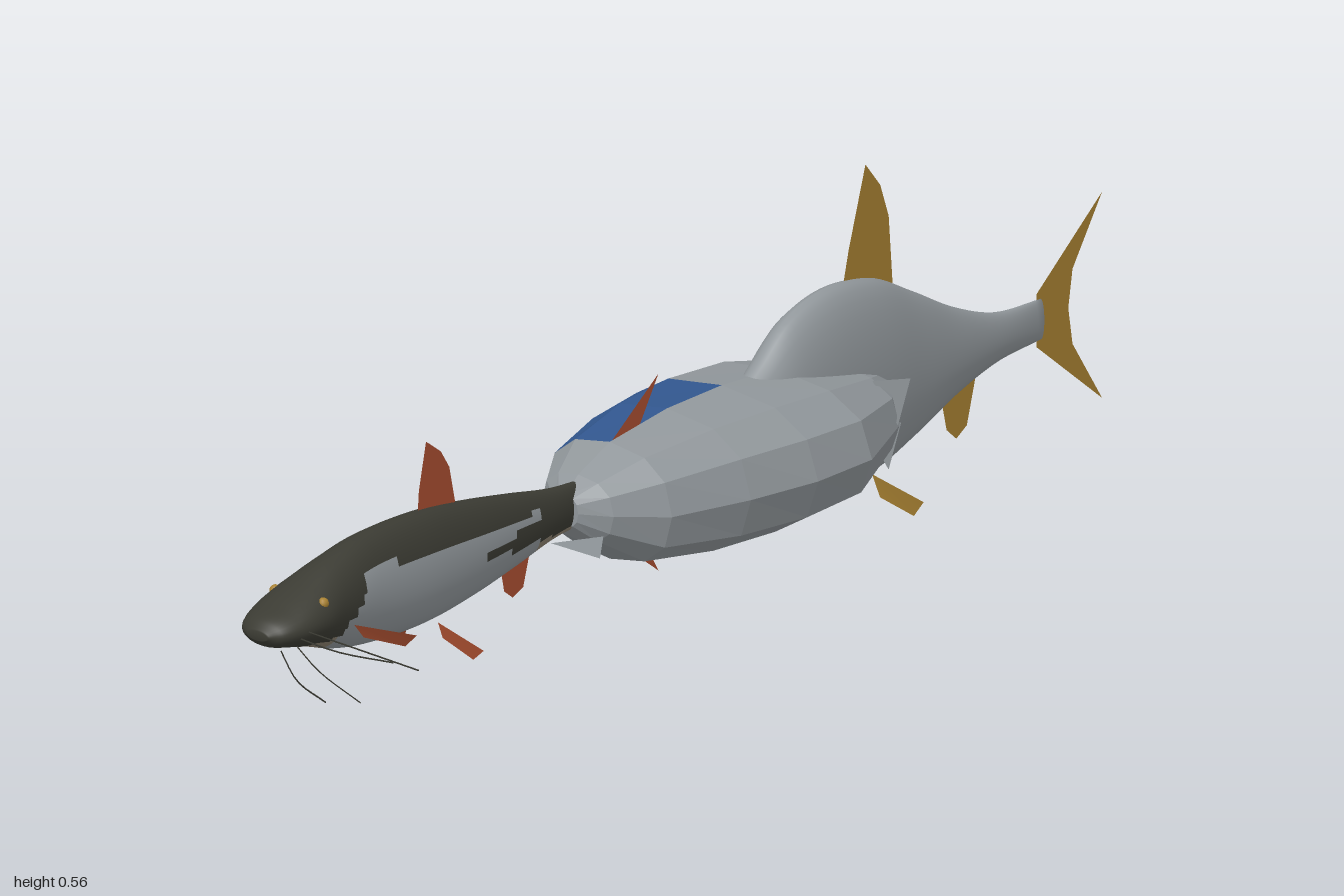
import * as THREE from 'three';

const material = (name, color, side = THREE.FrontSide) => {
  const m = new THREE.MeshStandardMaterial({ color, side });
  m.name = name;
  return m;
};

export function createModel() {
  const root = new THREE.Group();
  root.name = 'fishChain';
  const dark = material('dark olive', 0x3b3b33);
  const gray = material('silver gray', 0x91979b);
  const beige = material('pale beige', 0x8d8270);
  const blue = material('blue', 0x32578f);
  const red = material('fin red', 0xa84e30, THREE.DoubleSide);
  const gold = material('fin gold', 0xa88132, THREE.DoubleSide);
  const plate = material('plate gray', 0x8c9296, THREE.DoubleSide);

  const add = (name, geo, mat, parent = root) => {
    const m = new THREE.Mesh(geo, mat);
    m.name = name;
    parent.add(m);
    return m;
  };

  // Loft through [z, top, bottom, halfWidth] sections, front to back
  function loft(sections, sides, power, pick, count) {
    const pos = [], lists = [];
    const n = sections.length;
    const a = new THREE.CatmullRomCurve3(sections.map(s => new THREE.Vector3(s[0], s[1], s[2])), false, 'centripetal');
    const b = new THREE.CatmullRomCurve3(sections.map(s => new THREE.Vector3(s[0], s[3], 0)), false, 'centripetal');
    const rings = count ? Array.from({ length: count + 1 }, (_, i) => {
      const p = a.getPoint(i / count), w = b.getPoint(i / count);
      return [p.x, p.y, p.z, w.y];
    }) : sections;
    const bend = v => Math.sign(v) * Math.pow(Math.abs(v), power);
    for (const [z, top, bottom, w] of rings) {
      for (let j = 0; j < sides; j++) {
        const t = j / sides * Math.PI * 2;
        pos.push(w * bend(Math.cos(t)), (top + bottom) / 2 + (top - bottom) / 2 * bend(Math.sin(t)), z);
      }
    }
    const face = (p, q, r, x, y, z) => (lists[pick(x, y, z)] ??= []).push(p, q, r);
    for (let i = 0; i < rings.length - 1; i++) {
      for (let j = 0; j < sides; j++) {
        const k = (j + 1) % sides;
        const p = i * sides + j, q = i * sides + k, r = p + sides, s = q + sides;
        const mid = c => (pos[p * 3 + c] + pos[q * 3 + c] + pos[r * 3 + c] + pos[s * 3 + c]) / 4;
        face(p, r, q, mid(0), mid(1), mid(2));
        face(q, r, s, mid(0), mid(1), mid(2));
      }
    }
    // end caps
    for (const i of [0, rings.length - 1]) {
      const [z, top, bottom] = rings[i], c = pos.length / 3, y = (top + bottom) / 2;
      pos.push(0, y, z);
      for (let j = 0; j < sides; j++) {
        const p = i * sides + j, q = i * sides + (j + 1) % sides;
        if (i === 0) face(c, p, q, 0, y, z); else face(c, q, p, 0, y, z);
      }
    }
    const geo = new THREE.BufferGeometry();
    geo.setAttribute('position', new THREE.Float32BufferAttribute(pos, 3));
    const index = [];
    lists.forEach((l, m) => {
      geo.addGroup(index.length, l.length, m);
      index.push(...l);
    });
    geo.setIndex(index);
    const out = count ? geo : geo.toNonIndexed();
    out.computeVertexNormals();
    return out;
  }

  // Flat fin from a fan of corner points
  function fin(name, points, mat, parent) {
    const geo = new THREE.BufferGeometry();
    geo.setAttribute('position', new THREE.Float32BufferAttribute(points.flat(), 3));
    const index = [];
    for (let i = 1; i < points.length - 1; i++) index.push(0, i, i + 1);
    geo.setIndex(index);
    geo.computeVertexNormals();
    return add(name, geo, mat, parent);
  }
  const upright = (name, zy, mat, parent) => fin(name, zy.map(([z, y]) => [0, y, z]), mat, parent);
  function pair(name, points, mat, parent) {
    for (const s of [1, -1]) fin(name + (s > 0 ? 'Left' : 'Right'), points.map(([x, y, z]) => [s * x, y, z]), mat, parent);
  }
  // Forked tail as two lobes sharing a notch
  function tail(root0, low, high, notch, tip, tipLow, tipHigh, mat, parent) {
    const mid = (low + high) / 2;
    upright('tailUpperLobe', [[root0, mid], [root0, high], [tip, tipHigh], [notch, mid + 0.06], [notch + 0.01, mid]], mat, parent);
    upright('tailLowerLobe', [[root0, mid], [root0, low], [tip, tipLow], [notch, mid - 0.06], [notch + 0.01, mid]], mat, parent);
  }

  // Front whiskered fish
  const front = new THREE.Group();
  front.name = 'frontFish';
  root.add(front);
  const frontPick = (x, y, z) => {
    if (z > 0.87) return y < 0.165 && z < 0.93 ? 2 : 0;
    if (z > 0.8) return y > 0.16 + (0.87 - z) * 0.8 ? 0 : 1;
    if (z > 0.5) return y > 0.25 - (0.8 - z) * 0.07 ? 0 : 1;
    if (z > 0.36) return y > 0.18 && (y < 0.205 || y > 0.225) ? 0 : 1;
    return y < 0.172 ? 2 : 0;
  };
  add('frontBody', loft([
    [1, 0.2, 0.185, 0.02], [0.985, 0.215, 0.172, 0.042], [0.95, 0.23, 0.163, 0.058], [0.9, 0.25, 0.15, 0.063],
    [0.84, 0.272, 0.13, 0.055], [0.76, 0.289, 0.115, 0.048], [0.62, 0.29, 0.109, 0.045], [0.5, 0.275, 0.122, 0.038],
    [0.4, 0.258, 0.14, 0.029], [0.3, 0.24, 0.16, 0.02], [0.2, 0.235, 0.165, 0.009],
  ], 32, 1, frontPick, 90), [dark, gray, beige], front);
  upright('frontDorsalFin', [[0.62, 0.28], [0.617, 0.32], [0.6, 0.395], [0.565, 0.37], [0.545, 0.34], [0.53, 0.275]], red, front);
  upright('frontAnalFin', [[0.425, 0.15], [0.415, 0.105], [0.395, 0.09], [0.37, 0.1], [0.355, 0.15]], red, front);
  pair('frontPectoralFin', [[0.05, 0.175, 0.83], [0.052, 0.15, 0.81], [0.075, 0.122, 0.74], [0.09, 0.14, 0.73]], red, front);
  pair('frontPelvicFin', [[0.04, 0.12, 0.62], [0.045, 0.095, 0.615], [0.068, 0.053, 0.57], [0.076, 0.065, 0.555]], red, front);
  tail(0.22, 0.165, 0.235, 0.11, 0.05, 0.04, 0.355, red, front);
  for (const s of [1, -1]) {
    const eye = add('eye', new THREE.SphereGeometry(0.009, 12, 8), gold, front);
    eye.position.set(s * 0.047, 0.228, 0.9);
  }
  // whiskers
  for (const [a, b, c] of [
    [[0.03, 0.205, 0.96], [0.11, 0.18, 0.92], [0.185, 0.135, 0.84]],
    [[0.035, 0.195, 0.97], [0.1, 0.17, 0.93], [0.16, 0.15, 0.87]],
    [[0.045, 0.175, 0.96], [0.08, 0.14, 0.95], [0.12, 0.085, 0.9]],
    [[0.03, 0.17, 0.98], [0.045, 0.12, 0.96], [0.06, 0.075, 0.91]],
  ]) {
    const curve = new THREE.CatmullRomCurve3([a, b, c].map(p => new THREE.Vector3(...p)));
    add('whisker', new THREE.TubeGeometry(curve, 8, 0.0013, 4), dark, front);
  }

  // Faceted middle body with a blue shoulder patch
  const middle = new THREE.Group();
  middle.name = 'middleBody';
  root.add(middle);
  add('facetedShell', loft([
    [0.27, 0.22, 0.17, 0.025], [0.24, 0.245, 0.14, 0.07], [0.165, 0.277, 0.09, 0.122], [0.03, 0.294, 0.074, 0.165],
    [-0.1, 0.296, 0.072, 0.189], [-0.23, 0.287, 0.08, 0.187], [-0.37, 0.258, 0.115, 0.125], [-0.44, 0.235, 0.15, 0.06],
  ], 12, 0.85, (x, y, z) => (x < 0 && y > 0.185 && z > -0.1 && z < 0.165 ? 1 : 0)), [gray, blue], middle);
  // ragged points at the rear, small side plates at the front
  for (const [x, y, z] of [[0.1, 0.22, -0.39], [0.06, 0.18, -0.42], [0.09, 0.15, -0.38]]) {
    pair('rearPoint', [[x + 0.03, y - 0.03, z + 0.03], [x - 0.02, y + 0.01, z - 0.06], [x - 0.02, y + 0.03, z + 0.03]], plate, middle);
  }
  pair('sidePlate', [[0.095, 0.182, 0.295], [0.05, 0.18, 0.365], [0.148, 0.178, 0.367]], plate, middle);

  // Rear deep-bodied fish
  const rear = new THREE.Group();
  rear.name = 'rearFish';
  root.add(rear);
  add('rearBody', loft([
    [-0.05, 0.205, 0.175, 0.012], [-0.1, 0.245, 0.14, 0.03], [-0.18, 0.303, 0.092, 0.044], [-0.25, 0.36, 0.07, 0.05],
    [-0.34, 0.385, 0.058, 0.051], [-0.45, 0.373, 0.064, 0.046], [-0.55, 0.325, 0.094, 0.036], [-0.65, 0.272, 0.133, 0.026],
    [-0.75, 0.237, 0.158, 0.016], [-0.855, 0.23, 0.165, 0.007],
  ], 32, 1, () => 0, 60), [gray], rear);
  upright('rearDorsalFin', [[-0.385, 0.37], [-0.4, 0.43], [-0.44, 0.557], [-0.475, 0.515], [-0.495, 0.46], [-0.505, 0.34]], gold, rear);
  upright('rearAnalFin', [[-0.62, 0.13], [-0.632, 0.08], [-0.655, 0.06], [-0.68, 0.075], [-0.7, 0.145]], gold, rear);
  pair('rearPelvicFin', [[0.038, 0.078, -0.41], [0.045, 0.04, -0.42], [0.07, 0.002, -0.47], [0.081, 0.024, -0.48]], gold, rear);
  tail(-0.845, 0.155, 0.24, -0.93, -1, 0.032, 0.362, gold, rear);

  return root;
}
